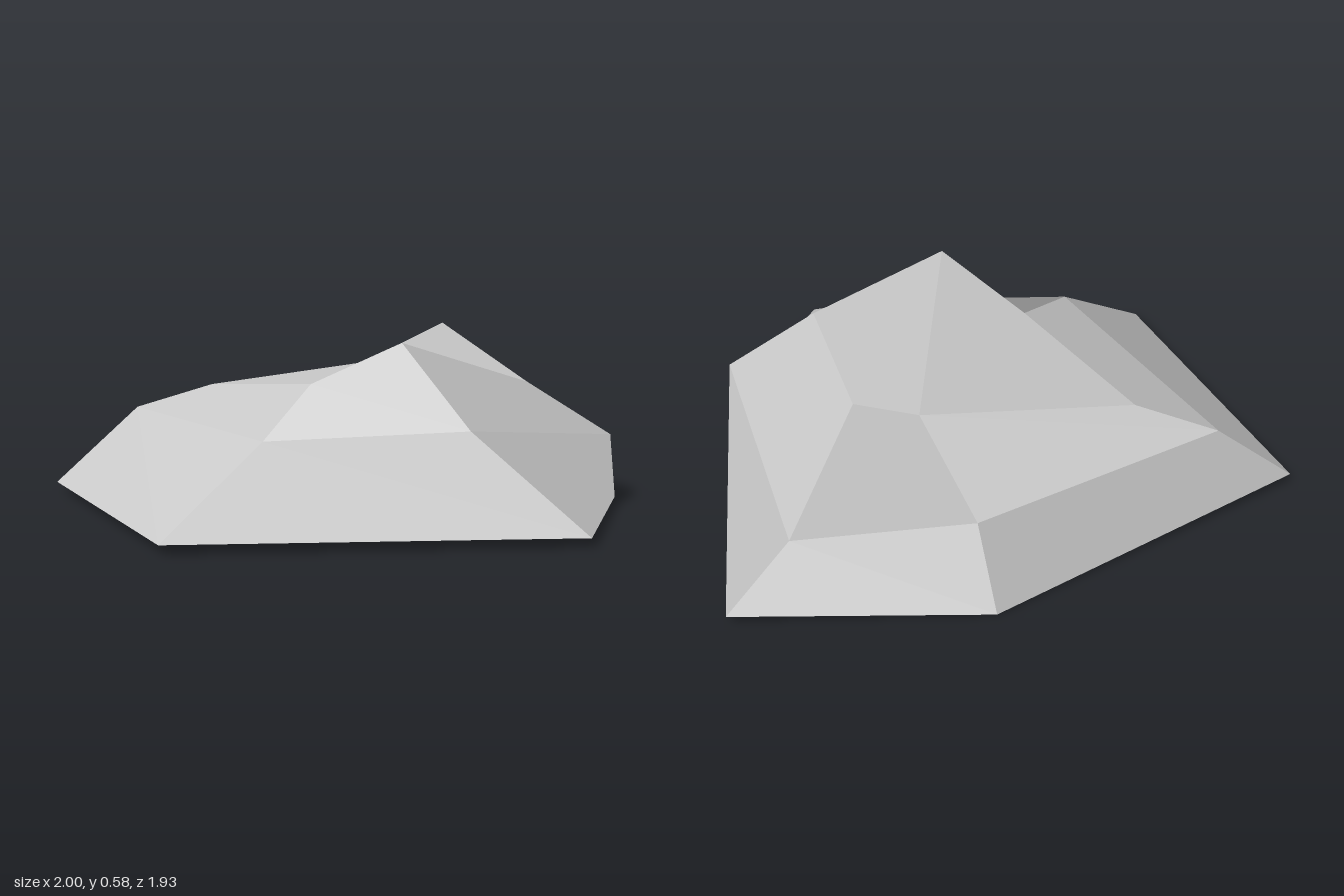
import * as THREE from 'three';

// Three six-sided rings, counter-clockwise from the back right-hand corner
const base = [[-1, .03, -.71], [-1, .03, .45], [.21, .03, .96], [.66, .03, .45], [1, .03, -.71], [.21, 0, -.97]];
const middle = [[-.69, .29, -.705], [-.59, .29, .28], [.06, .305, .48], [.7, .235, .36], [.77, .21, -.645], [.2, .215, -.78]];
const crown = [[-.44, .375, -.58], [-.3, .43, .01], [-.09, .585, .28], [.4, .43, .28], [.51, .575, -.52], [.28, .45, -.48]];

// Quads of the band between two rings
function band(lower, upper) {
  return lower.map((p, i) => {
    const j = (i + 1) % lower.length;
    return [p, lower[j], upper[j], upper[i]];
  });
}

// Each quad folds along its second and fourth corners and shares one
// averaged normal, so bent facets still read as one plane
function facetGeometry(quads) {
  const positions = [], normals = [];
  for (const quad of quads) {
    const [a, b, c, d] = quad.map((p) => new THREE.Vector3(...p));
    const n = c.clone().sub(a).cross(d.clone().sub(b)).normalize();
    for (const v of [a, b, d, b, c, d]) {
      positions.push(v.x, v.y, v.z);
      normals.push(n.x, n.y, n.z);
    }
  }
  const geometry = new THREE.BufferGeometry();
  geometry.setAttribute('position', new THREE.Float32BufferAttribute(positions, 3));
  geometry.setAttribute('normal', new THREE.Float32BufferAttribute(normals, 3));
  return geometry;
}

export function createModel() {
  const group = new THREE.Group();
  group.name = 'rock';
  const stone = new THREE.MeshStandardMaterial({ color: 0xc8c8c8 });
  stone.name = 'grey stone';

  const add = (name, quads) => {
    const mesh = new THREE.Mesh(facetGeometry(quads), stone);
    mesh.name = name;
    group.add(mesh);
  };
  const pick = (ring, ids) => ids.map((i) => ring[i]);

  // Sloping sides
  add('lowerSlopes', band(base, middle));
  add('upperSlopes', band(middle, crown));

  // Crown with a ridge running diagonally, and the underside
  add('crown', [pick(crown, [5, 2, 3, 4]), pick(crown, [0, 1, 2, 5])]);
  add('underside', [pick(base, [5, 4, 3, 2]), pick(base, [2, 1, 0, 5])]);
  return group;
}
